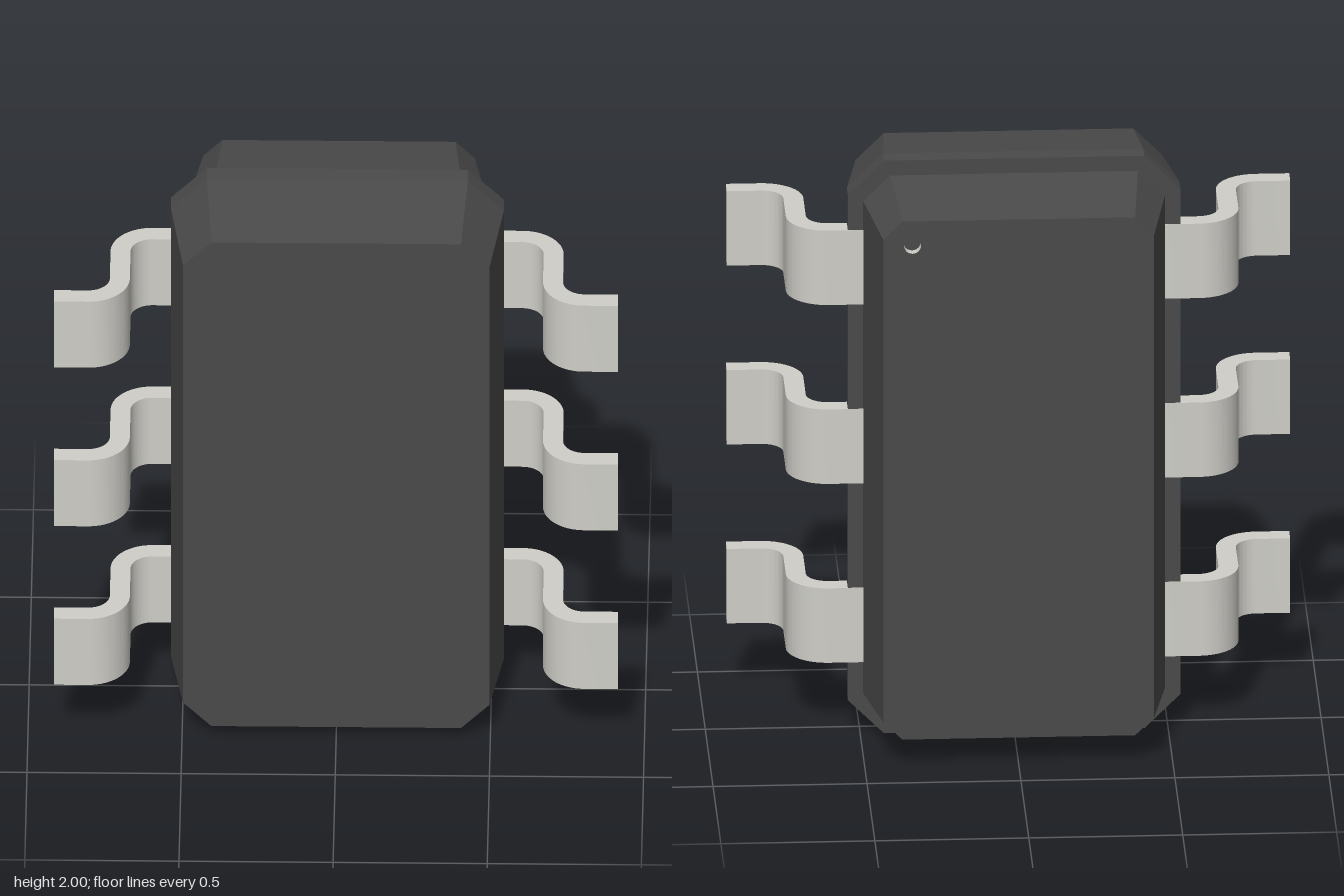
import * as THREE from 'three';
import { toCreasedNormals } from 'three/addons/utils/BufferGeometryUtils.js';

const BODY = 0x4a4a4a, METAL = 0xcfcec8;

// chamfered rectangle, counter-clockwise: half width, half height, chamfer
function octagon(w, h, c) {
  return [[w, -h + c], [w, h - c], [w - c, h], [-w + c, h],
    [-w, h - c], [-w, -h + c], [-w + c, -h], [w - c, -h]].map(([x, y]) => new THREE.Vector2(x, y));
}

// side walls through octagon sections [halfWidth, halfHeight, chamfer, z], front to back
function loftWalls(sections) {
  const pos = [];
  const rings = sections.map(([w, h, c, z]) => octagon(w, h, c).map(p => [p.x, p.y, z]));
  for (let i = 0; i < rings.length - 1; i++) {
    for (let j = 0; j < 8; j++) {
      const k = (j + 1) % 8, f = rings[i], b = rings[i + 1];
      pos.push(...f[j], ...b[j], ...b[k], ...f[j], ...b[k], ...f[k]);
    }
  }
  const g = new THREE.BufferGeometry();
  g.setAttribute('position', new THREE.Float32BufferAttribute(pos, 3));
  g.computeVertexNormals();
  return g;
}

// bent lead profile in x-z, extruded along y and centred on y = 0
function leadGeometry(height) {
  const t = 0.065, r = 0.07, R = r + t, H = Math.PI / 2;
  const s = new THREE.Shape();
  s.moveTo(0.46, -t);
  s.lineTo(0.6, -t);
  s.absarc(0.6, r, R, -H, 0, false);
  s.lineTo(0.735, 0.225);
  s.absarc(0.805, 0.225, r, Math.PI, H, true);
  s.lineTo(0.915, 0.295);
  s.lineTo(0.915, 0.36);
  s.lineTo(0.805, 0.36);
  s.absarc(0.805, 0.225, R, H, Math.PI, false);
  s.lineTo(0.67, r);
  s.absarc(0.6, r, r, 0, -H, true);
  s.lineTo(0.46, 0);
  s.closePath();
  const g = new THREE.ExtrudeGeometry(s, { depth: height, bevelEnabled: false, curveSegments: 12 });
  g.translate(0, 0, -height / 2).rotateX(Math.PI / 2);
  return toCreasedNormals(g, 0.6);
}

export function createModel() {
  const model = new THREE.Group();
  const bodyMat = new THREE.MeshStandardMaterial({ color: BODY });
  const metalMat = new THREE.MeshStandardMaterial({ color: METAL });
  const add = (parent, name, geometry, material, x = 0, y = 0, z = 0) => {
    const m = new THREE.Mesh(geometry, material);
    m.name = name;
    m.position.set(x, y, z);
    parent.add(m);
    return m;
  };

  // package body: tapered front half, ledge, smaller tapered back half
  const body = new THREE.Group();
  body.name = 'body';
  body.position.y = 1;
  model.add(body);
  const front = [0.497, 0.953, 0.092, 0.295], back = [0.44, 0.905, 0.062, -0.36];
  add(body, 'bodyWalls', loftWalls([
    front, [0.54, 1, 0.117, 0], [0.54, 1, 0.117, -0.063],
    [0.49, 0.948, 0.088, -0.063], back,
  ]), bodyMat);
  add(body, 'frontFace', new THREE.ShapeGeometry(new THREE.Shape(octagon(...front))), bodyMat, 0, 0, front[3]);

  // back face with a small round marker recess in its upper corner
  const mx = 0.345, my = 0.82, mr = 0.028, depth = 0.03;
  const backShape = new THREE.Shape(octagon(...back));
  backShape.holes.push(new THREE.Path().absarc(-mx, my, mr, 0, Math.PI * 2, true));
  add(body, 'backFace', new THREE.ShapeGeometry(backShape, 12).rotateY(Math.PI), bodyMat, 0, 0, back[3]);
  const wallMat = new THREE.MeshStandardMaterial({ color: METAL, side: THREE.DoubleSide });
  add(body, 'markerWall', new THREE.CylinderGeometry(mr, mr, depth, 24, 1, true).rotateX(Math.PI / 2),
    wallMat, mx, my, back[3] + depth / 2);
  add(body, 'markerFloor', new THREE.CircleGeometry(mr, 24).rotateY(Math.PI), bodyMat, mx, my, back[3] + depth);

  // three leads on each side
  const lead = leadGeometry(0.26);
  for (const y of [0.38, 1.005, 1.63]) {
    add(model, 'leftLead', lead, metalMat, 0, y);
    add(model, 'rightLead', lead, metalMat, 0, y).rotation.z = Math.PI;
  }
  return model;
}
